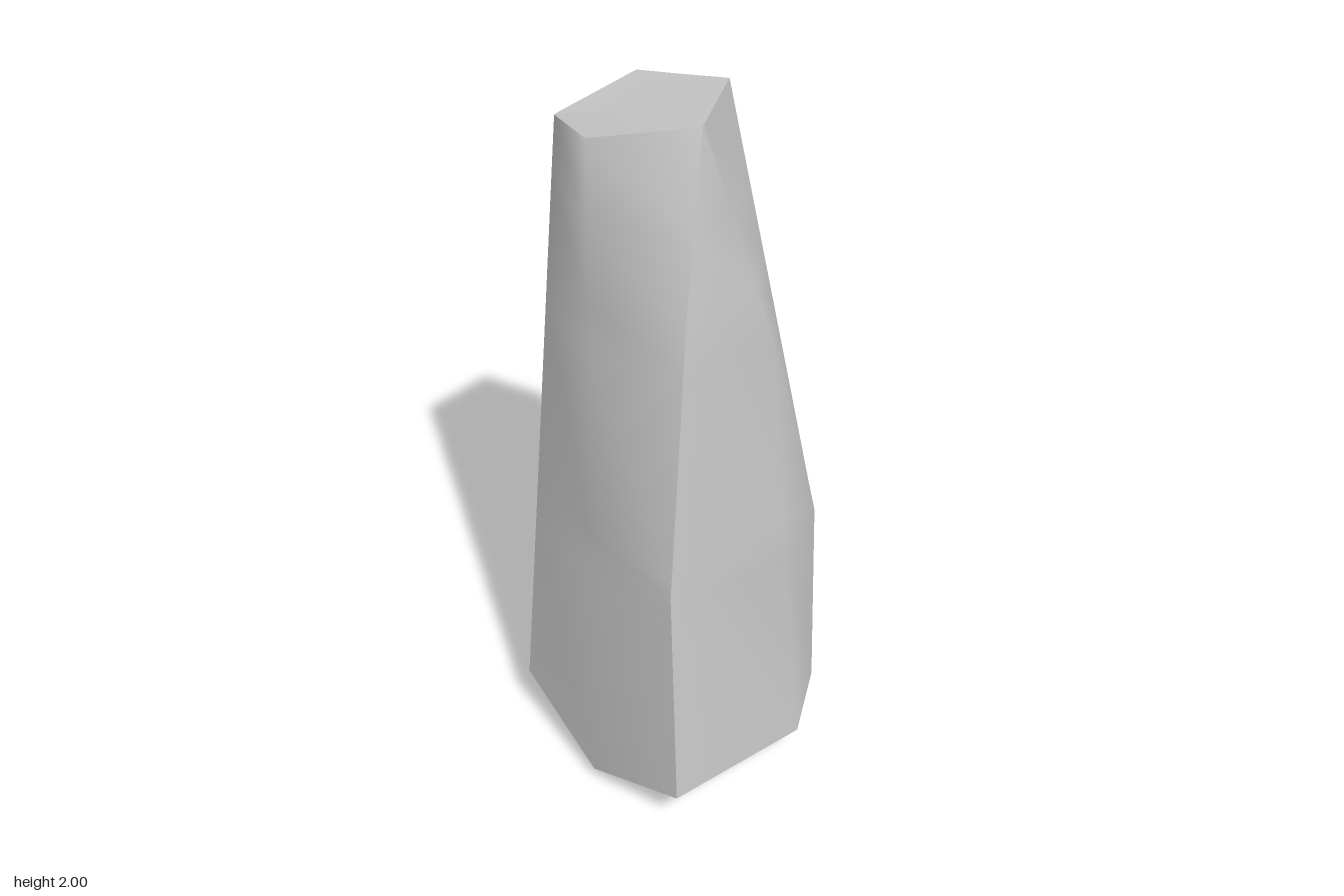
import * as THREE from 'three';

// Vertical ridges of the rock, each from top to bottom
const front = [[0.04, 1.965, 0.29], [0.04, 0.045, 0.32]];
const frontLeft = [[0.22, 2, 0.11], [0.27, 1.54, 0.2], [0.302, 0.8, 0.275], [0.337, 0.14, 0.285]];
const left = [[0.21, 2, 0.095], [0.283, 1.41, -0.06], [0.348, 0.115, -0.145]];
const backLeft = [[0.09, 2, -0.09], [0.24, 0.85, -0.255], [0.225, 0.73, -0.297], [0.225, 0.13, -0.32]];
const back = [[-0.04, 1.973, -0.055], [-0.03, 0.85, -0.192], [-0.09, 0.73, -0.2], [-0.155, 0.13, -0.195]];
const backRight = [[-0.155, 1.95, -0.025], [-0.157, 1.76, -0.09], [-0.18, 1.41, -0.145],
  [-0.235, 0.8, -0.148], [-0.27, 0.14, -0.1]];
const right = [[-0.155, 1.923, 0.205], [-0.24, 1.54, 0.155], [-0.35, 0.18, 0.05]];
const frontRight = [[-0.155, 1.92, 0.22], [-0.28, 0.16, 0.285]];

// Smooth sides, each sharing a sharp ridge with the next, counterclockwise from above
const sides = {
  frontSide: [frontRight, front, frontLeft],
  leftSide: [frontLeft, left, backLeft],
  backSide: [backLeft, back, backRight],
  rightSide: [backRight, right, frontRight],
};
const levels = [1.76, 1.54, 1.41, 0.85, 0.8, 0.73];

// Point on a ridge at height y
function pointAt(ridge, y) {
  let i = 0;
  while (i < ridge.length - 2 && ridge[i + 1][1] > y) i++;
  const [a, b] = [ridge[i], ridge[i + 1]];
  const t = (a[1] - y) / (a[1] - b[1]);
  return a.map((v, k) => v + (b[k] - v) * t);
}

function addPart(group, name, points, indices) {
  const geometry = new THREE.BufferGeometry();
  geometry.setAttribute('position', new THREE.Float32BufferAttribute(points.flat(), 3));
  geometry.setIndex(indices);
  geometry.computeVertexNormals();
  const mesh = new THREE.Mesh(geometry, new THREE.MeshStandardMaterial({ color: 0xcccccc }));
  mesh.name = name;
  group.add(mesh);
}

// Side skinned across neighbouring ridges
function addSide(group, name, ridges) {
  const rows = levels.length + 2;
  const points = ridges.flatMap((r) => [r[0], ...levels.map((y) => pointAt(r, y)), r[r.length - 1]]);
  const indices = [];
  for (let c = 0; c < ridges.length - 1; c++) {
    for (let j = 0; j < rows - 1; j++) {
      const a = c * rows + j;
      const b = a + rows;
      indices.push(a, a + 1, b + 1, a, b + 1, b);
    }
  }
  addPart(group, name, points, indices);
}

// Fan from a centre point to a closed rim
function addFan(group, name, centre, rim) {
  const indices = rim.flatMap((_, i) => [0, i + 1, ((i + 1) % rim.length) + 1]);
  addPart(group, name, [centre, ...rim], indices);
}

export function createModel() {
  const group = new THREE.Group();
  group.name = 'standingStone';
  for (const [name, ridges] of Object.entries(sides)) addSide(group, name, ridges);

  // sloped cap and pointed underside
  const around = Object.values(sides).flatMap((ridges) => ridges.slice(0, -1));
  addFan(group, 'cap', [0.04, 1.968, 0.1], around.map((r) => r[0]));
  addFan(group, 'underside', [0.09, 0, -0.05], around.map((r) => r[r.length - 1]).reverse());
  return group;
}
